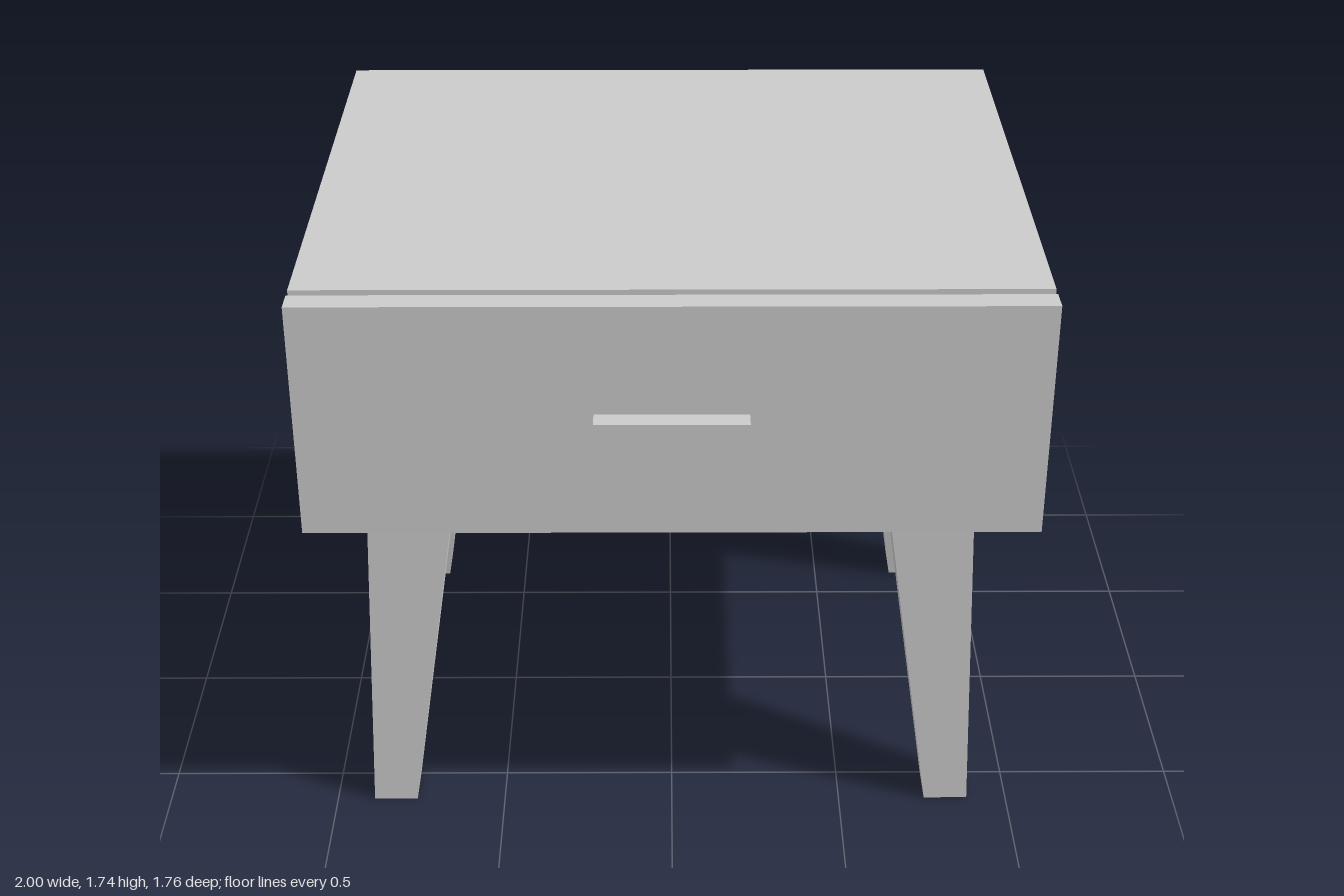
import * as THREE from 'three';

const material = new THREE.MeshStandardMaterial({ color: 0xcccccc, flatShading: true });

// Box given by its minimum and maximum corners
function box(name, [x0, y0, z0], [x1, y1, z1]) {
  const geometry = new THREE.BoxGeometry(x1 - x0, y1 - y0, z1 - z0);
  geometry.translate((x0 + x1) / 2, (y0 + y1) / 2, (z0 + z1) / 2);
  const mesh = new THREE.Mesh(geometry, material);
  mesh.name = name;
  return mesh;
}

// Square leg that tapers and splays outwards towards the floor
const LEG = {
  height: 1.06,
  top: { x: 0.725, z: 0.55, size: 0.245 },
  foot: { x: 0.823, z: 0.622, size: 0.128 },
};

function leg(name, sx, sz) {
  const geometry = new THREE.BoxGeometry(1, 1, 1);
  const p = geometry.attributes.position;
  for (let i = 0; i < p.count; i++) {
    const upper = p.getY(i) > 0;
    const end = upper ? LEG.top : LEG.foot;
    p.setXYZ(
      i,
      sx * end.x + p.getX(i) * end.size,
      upper ? LEG.height : 0,
      sz * end.z + p.getZ(i) * end.size
    );
  }
  geometry.computeVertexNormals();
  const mesh = new THREE.Mesh(geometry, material);
  mesh.name = name;
  return mesh;
}

export function createModel() {
  const model = new THREE.Group();
  model.name = 'nightstand';

  // Cabinet and drawer, with a recessed shadow gap between them
  model.add(box('cabinet', [-1, 1.06, -0.88], [1, 1.74, 0.723]));
  const drawer = new THREE.Group();
  drawer.name = 'drawer';
  drawer.add(
    box('drawerRecess', [-0.945, 1.11, 0.723], [0.945, 1.69, 0.753]),
    box('drawerFront', [-1, 1.06, 0.753], [1, 1.74, 0.823]),
    box('drawerHandle', [-0.207, 1.34, 0.823], [0.205, 1.425, 0.88])
  );
  model.add(drawer);

  // Four legs, centred under the cabinet
  const legs = new THREE.Group();
  legs.name = 'legs';
  legs.position.set(-0.003, 0, -0.062);
  for (const [sx, side] of [[1, 'Left'], [-1, 'Right']]) {
    for (const [sz, end] of [[1, 'front'], [-1, 'back']]) {
      legs.add(leg(`${end}${side}Leg`, sx, sz));
    }
  }
  model.add(legs);

  return model;
}
